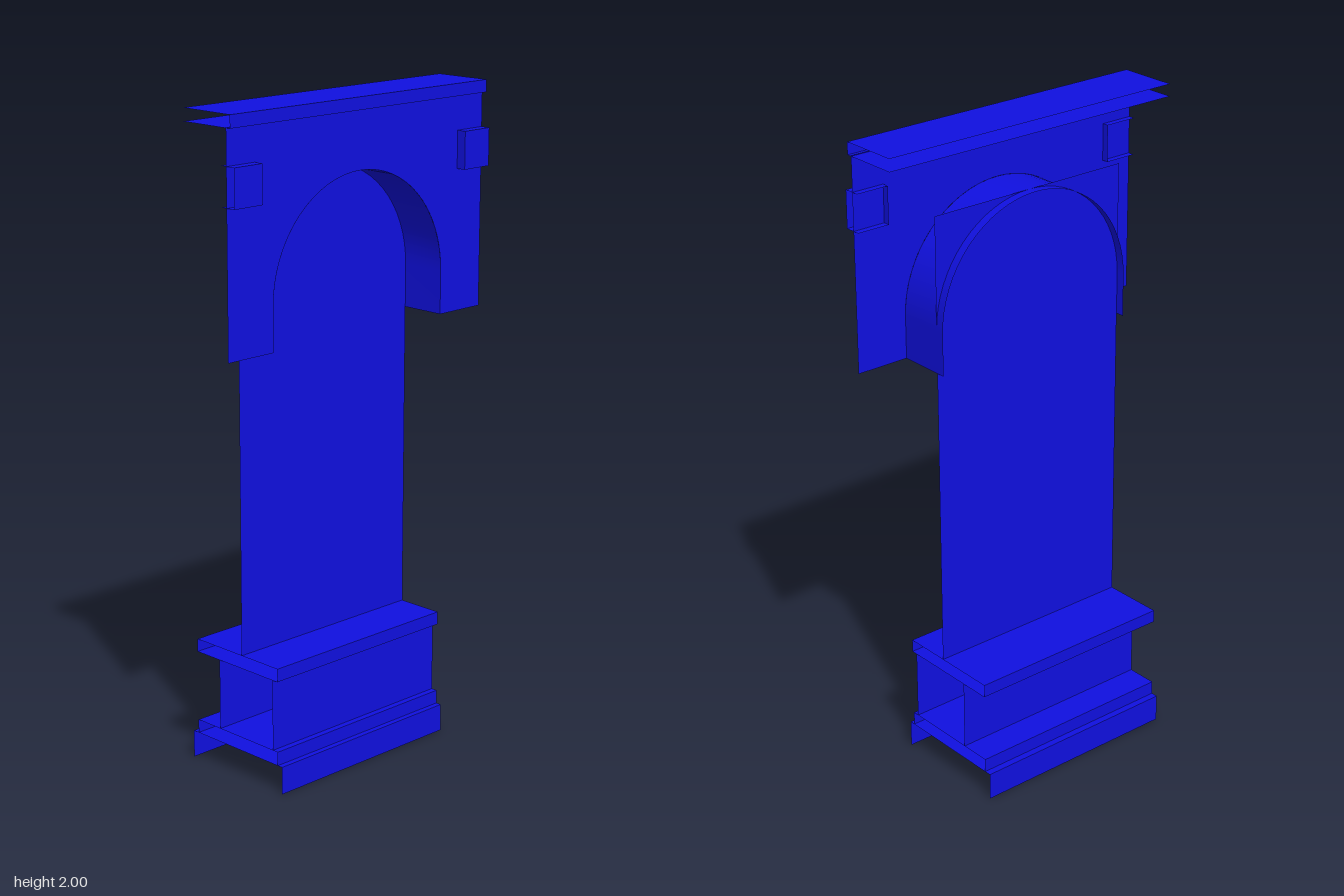
import * as THREE from 'three';

const material = new THREE.MeshStandardMaterial({ color: 0x1010e0, side: THREE.DoubleSide });

const HALF_W = 0.51;      // head half width
const OPEN_W = 0.34;      // opening / shaft half width (also arch radius)
const SPRING_Y = 1.45, HEAD_BOTTOM = 1.32, WALL_Z = 0.164;

// Sweeps a list of [x, y, z] points along a straight vector into an open sheet.
function sweep(points, [ex, ey, ez], smooth = false) {
  const positions = [], index = [];
  for (const [x, y, z] of points) positions.push(x, y, z, x + ex, y + ey, z + ez);
  for (let i = 0; i < points.length - 1; i++) {
    const a = 2 * i;
    index.push(a, a + 2, a + 3, a, a + 3, a + 1);
  }
  let geometry = new THREE.BufferGeometry();
  geometry.setAttribute('position', new THREE.Float32BufferAttribute(positions, 3));
  geometry.setIndex(index);
  if (!smooth) geometry = geometry.toNonIndexed();
  geometry.computeVertexNormals();
  return geometry;
}

// Moulding: a [z, y] profile run across the full width, open at both ends.
const moulding = (profile, halfWidth) =>
  sweep(profile.map(([z, y]) => [-halfWidth, y, z]), [2 * halfWidth, 0, 0]);

export function createModel() {
  const model = new THREE.Group();
  model.name = 'archedBay';

  const add = (name, geometry, parent = model) => {
    const mesh = new THREE.Mesh(geometry, material);
    mesh.name = name;
    parent.add(mesh);
    return mesh;
  };

  // Base: stacked mouldings, open at the ends
  add('plinth', moulding([[-0.194, 0], [-0.194, 0.085], [0.19, 0.085], [0.19, 0]], OPEN_W));
  add('plinthStep', moulding([[-0.172, 0.085], [-0.172, 0.127], [0.172, 0.127], [0.172, 0.085]], OPEN_W));
  add('pedestalBack', moulding([[-0.075, 0.127], [-0.075, 0.345]], OPEN_W));
  add('pedestalFront', moulding([[0.152, 0.345], [0.152, 0.127]], OPEN_W));
  add('pedestalCap', moulding(
    [[-0.172, 0.345], [-0.172, 0.385], [0.172, 0.385], [0.172, 0.345], [-0.172, 0.345]], OPEN_W));

  // Flat panel closing the niche, rising to the crown of the arch
  const panel = add('nichePanel', new THREE.PlaneGeometry(2 * OPEN_W, 1.79 - 0.385));
  panel.position.set(0, (1.79 + 0.385) / 2, 0.022);

  // Front wall of the head, cut by the arch
  const wall = new THREE.Shape();
  wall.moveTo(-HALF_W, HEAD_BOTTOM);
  wall.lineTo(-OPEN_W, HEAD_BOTTOM);
  wall.lineTo(-OPEN_W, SPRING_Y);
  wall.absarc(0, SPRING_Y, OPEN_W, Math.PI, 0, true);
  wall.lineTo(OPEN_W, HEAD_BOTTOM);
  wall.lineTo(HALF_W, HEAD_BOTTOM);
  wall.lineTo(HALF_W, 1.965);
  wall.lineTo(-HALF_W, 1.965);
  add('archWall', new THREE.ShapeGeometry(wall, 32)).position.z = WALL_Z;

  // Inner surface of the arch
  const backZ = -0.006;
  const soffit = [[-OPEN_W, HEAD_BOTTOM, backZ]];
  for (let i = 0; i <= 32; i++) {
    const a = Math.PI * (1 - i / 32);
    soffit.push([OPEN_W * Math.cos(a), SPRING_Y + OPEN_W * Math.sin(a), backZ]);
  }
  soffit.push([OPEN_W, HEAD_BOTTOM, backZ]);
  add('archSoffit', sweep(soffit, [0, 0, WALL_Z - backZ], true));

  // Cornice, open at the back and ends
  add('cornice', moulding([[-0.007, 2], [0.18, 2], [0.18, 1.963], [-0.007, 1.963]], HALF_W));

  // Small projecting blocks at the wall edges, open on the outer side
  const inner = 0.405, low = 1.747, high = 1.86, rear = 0.143, front = 0.194;
  for (const s of [1, -1]) {
    const block = new THREE.Group();
    block.name = s > 0 ? 'leftBlock' : 'rightBlock';
    model.add(block);
    const path = [
      [s * HALF_W, high, rear], [s * inner, high, rear],
      [s * inner, low, rear], [s * HALF_W, low, rear]
    ];
    if (s < 0) path.reverse();
    add('blockSides', sweep(path, [0, 0, front - rear]), block);
    const face = add('blockFace', new THREE.PlaneGeometry(HALF_W - inner, high - low), block);
    face.position.set(s * (HALF_W + inner) / 2, (low + high) / 2, front);
  }

  return model;
}
